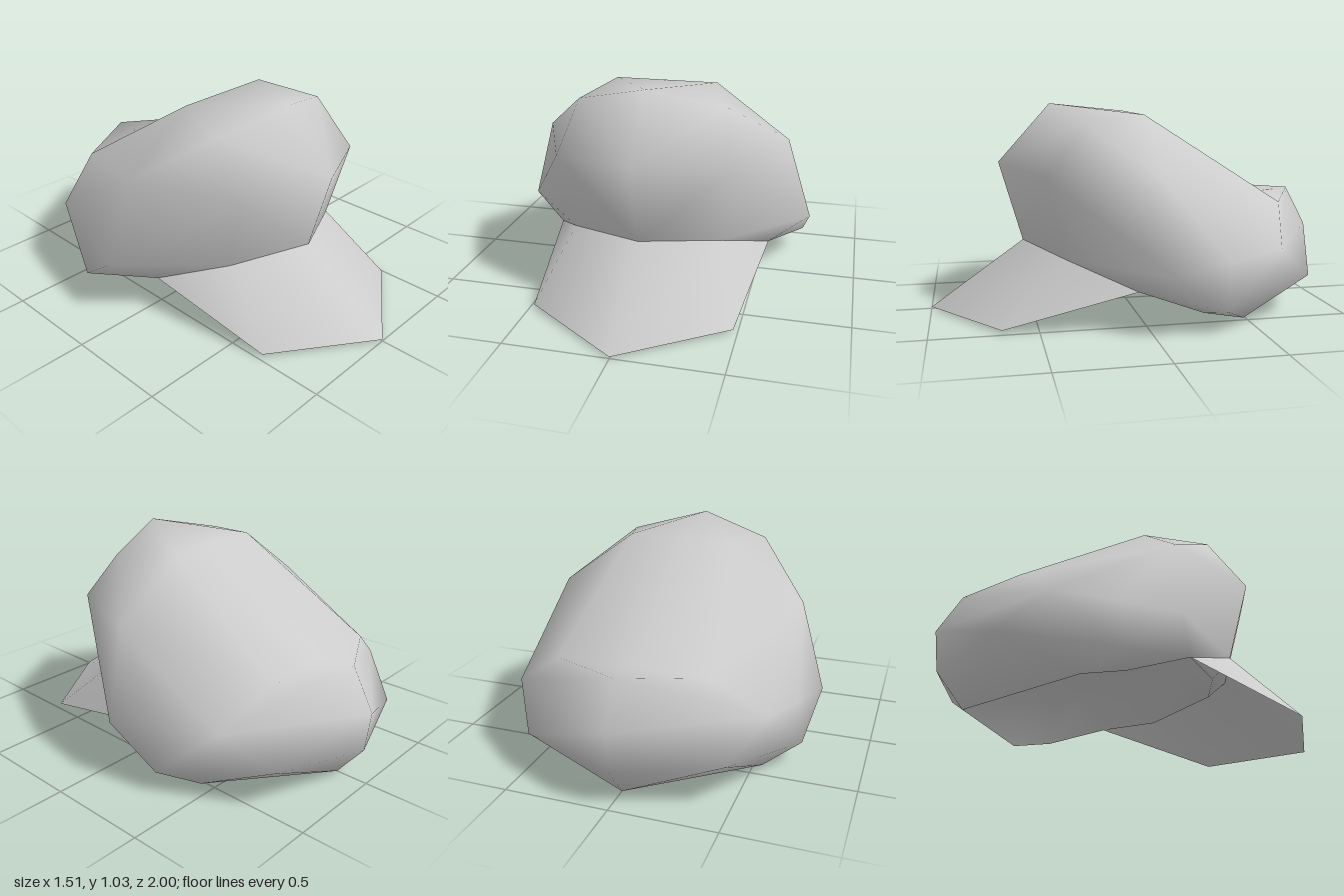
import * as THREE from 'three';

// Half cross-sections from front centre round the +x side to back centre
const RIM = [[0, .34, .535], [.37, .308, .36], [.56, .185, .05], [.565, .07, -.26], [.55, .03, -.46], [0, .002, -.84]];
const SIDE = [[0, .74, .65], [.42, .70, .45], [.755, .29, -.08], [.71, .11, -.33], [.47, .2, -.82], [0, .17, -.975]];
const TOP = [[0, 1.03, .39], [.36, .94, .27], [.63, .71, -.04], [.685, .33, -.35], [.61, .37, -.62], [0, .37, -1]];

const flip = ([x, y, z]) => [-x, y, z];

// Builds a surface from the +x half: every point and face is mirrored,
// points on the centre line are shared
function mirroredSurface(half, faces) {
  const points = [...half];
  const twin = half.map((p, i) => (p[0] === 0 ? i : points.push(flip(p)) - 1));
  const index = faces.flatMap(([a, b, c]) => [a, b, c, twin[a], twin[c], twin[b]]);
  const g = new THREE.BufferGeometry();
  g.setAttribute('position', new THREE.Float32BufferAttribute(points.flat(), 3));
  g.setIndex(index);
  g.computeVertexNormals();
  return g;
}

// Soft crown: walls lofted through three rings, closed by a faceted top
function crownGeometry() {
  const n = RIM.length;
  // Inner points of the top: front, back, back peak, and two on the centre line
  const points = [
    ...RIM, ...SIDE, ...TOP,
    [.26, .98, -.04], [.36, .55, -.70], [0, .572, -.89], [0, .98, -.04], [0, .55, -.70],
  ];
  const faces = [];
  for (let r = 0; r < 2; r++) {
    for (let j = 0; j < n - 1; j++) {
      const a = r * n + j, b = a + 1, c = b + n, d = a + n;
      // The fold turns the other way low at the back
      if (r === 0 && j > 2) faces.push([a, b, d], [b, c, d]);
      else faces.push([a, b, c], [a, c, d]);
    }
  }
  const t = 2 * n, F = 18, B = 19, P = 20, FC = 21, BC = 22;
  faces.push(
    [t, t + 1, F], [t + 1, t + 2, F], [t + 2, t + 3, t + 4], [t + 2, t + 4, B], [t + 2, B, F],
    [t + 4, P, B], [t + 4, t + 5, P],
    [t, F, FC], [F, B, BC], [F, BC, FC], [B, P, BC],
  );
  return mirroredSurface(points, faces);
}

// Hollow inside: a lip under the front rim, then a dome rising into the crown
function liningGeometry() {
  const points = [
    ...RIM,
    [0, .244, .43], [.35, .19, .27],
    [0, .42, .27], [.29, .38, .16], [.42, .32, -.1], [.42, .25, -.3], [.34, .2, -.48], [0, .18, -.66],
    [0, .43, -.12],
  ];
  const lip = 6, dome = 8, apex = 14;
  const faces = [[0, lip, 1], [lip, lip + 1, 1], [1, lip + 1, 2]];
  const edge = [lip, lip + 1, 2, 3, 4, 5];
  for (let j = 0; j < 5; j++) {
    const a = edge[j], b = edge[j + 1], c = dome + j + 1, d = dome + j;
    faces.push([a, d, b], [b, d, c], [d, apex, c]);
  }
  return mirroredSurface(points, faces);
}

// Pointed visor hanging from the front of the rim
function visorGeometry() {
  const points = [RIM[0], RIM[1], RIM[2], [.48, .017, .67], [0, .01, 1]];
  return mirroredSurface(points, [[2, 1, 3], [1, 4, 3], [1, 0, 4]]);
}

export function createModel() {
  const fabric = new THREE.MeshStandardMaterial({ color: 0xcccccc, side: THREE.DoubleSide });
  fabric.name = 'greyFabric';
  const group = new THREE.Group();
  group.name = 'cap';
  const parts = { crown: crownGeometry(), lining: liningGeometry(), visor: visorGeometry() };
  for (const [name, geometry] of Object.entries(parts)) {
    const mesh = new THREE.Mesh(geometry, fabric);
    mesh.name = name;
    group.add(mesh);
  }
  return group;
}
